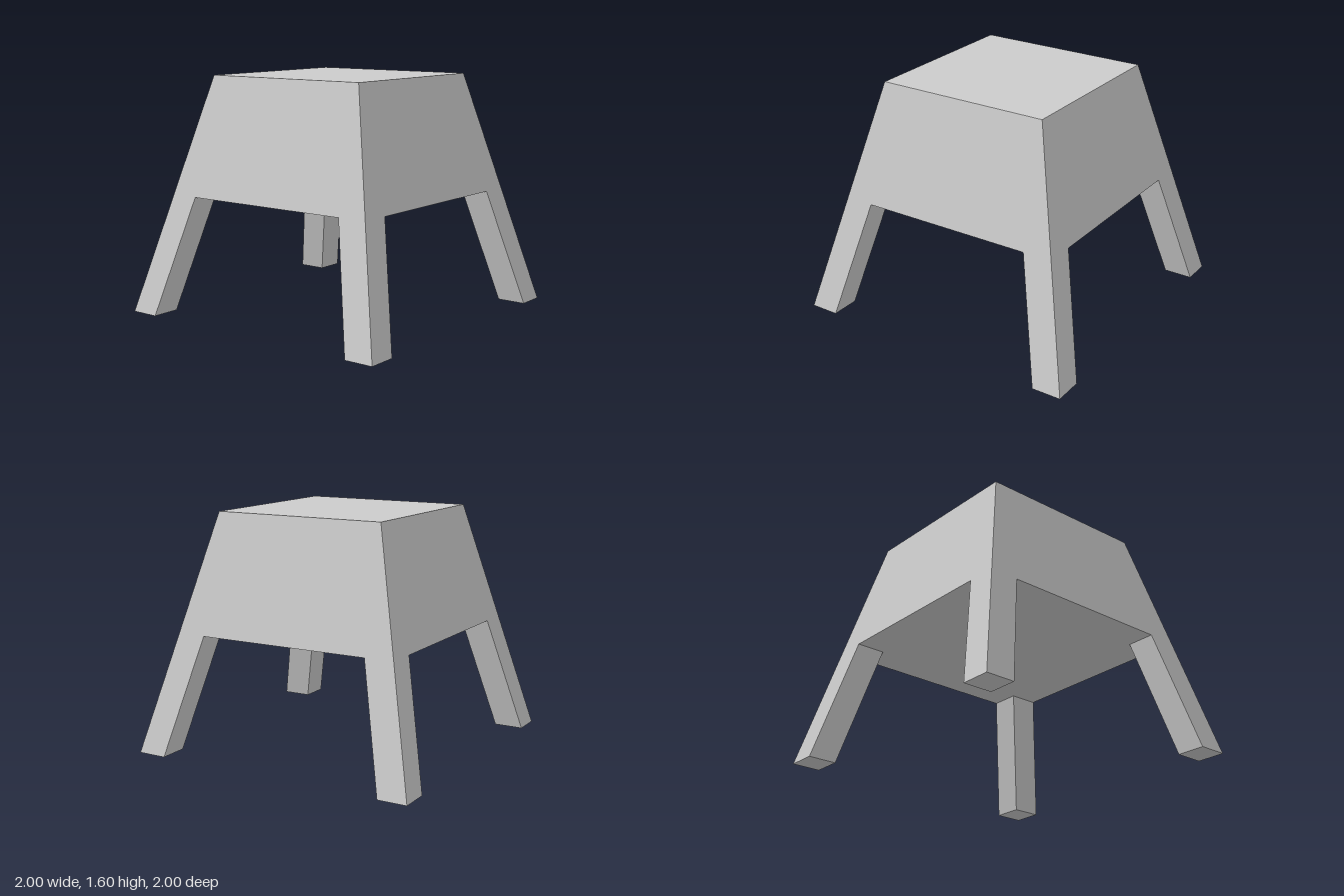
import * as THREE from 'three';

const SEAT_Y = 0.8, TOP_Y = 1.6;
const material = new THREE.MeshStandardMaterial({ color: 0xcccccc, flatShading: true });

// Moves every vertex of a geometry by a rule, then refreshes the normals
function reshape(geometry, rule) {
  const pos = geometry.attributes.position;
  const v = new THREE.Vector3();
  for (let i = 0; i < pos.count; i++) {
    rule(v.fromBufferAttribute(pos, i));
    pos.setXYZ(i, v.x, v.y, v.z);
  }
  geometry.computeVertexNormals();
  return geometry;
}

function addMesh(group, name, geometry) {
  const mesh = new THREE.Mesh(geometry, material);
  mesh.name = name;
  group.add(mesh);
}

// Solid block tapering from 1.6 wide at the underside to 1.2 wide at the top
function bodyGeometry() {
  const height = TOP_Y - SEAT_Y;
  const box = new THREE.BoxGeometry(1.6, height, 1.6).translate(0, SEAT_Y + height / 2, 0);
  return reshape(box, (v) => {
    const scale = v.y > SEAT_Y + height / 2 ? 0.75 : 1;
    v.x *= scale;
    v.z *= scale;
  });
}

// Square leg sheared outwards so its outer faces continue the body's slope
function legGeometry(sx, sz) {
  const box = new THREE.BoxGeometry(0.2, SEAT_Y, 0.2).translate(sx * 0.7, SEAT_Y / 2, sz * 0.7);
  // Drop the top face, which is hidden against the body
  const index = Array.from(box.index.array);
  index.splice(12, 6);
  box.setIndex(index);
  box.clearGroups();
  return reshape(box, (v) => {
    const splay = 0.2 * (1 - v.y / SEAT_Y);
    v.x += sx * splay;
    v.z += sz * splay;
  });
}

export function createModel() {
  const model = new THREE.Group();
  model.name = 'stool';
  addMesh(model, 'body', bodyGeometry());
  for (const [sz, end] of [[1, 'front'], [-1, 'back']]) {
    for (const [sx, side] of [[1, 'Left'], [-1, 'Right']]) {
      addMesh(model, `${end}${side}Leg`, legGeometry(sx, sz));
    }
  }
  return model;
}
